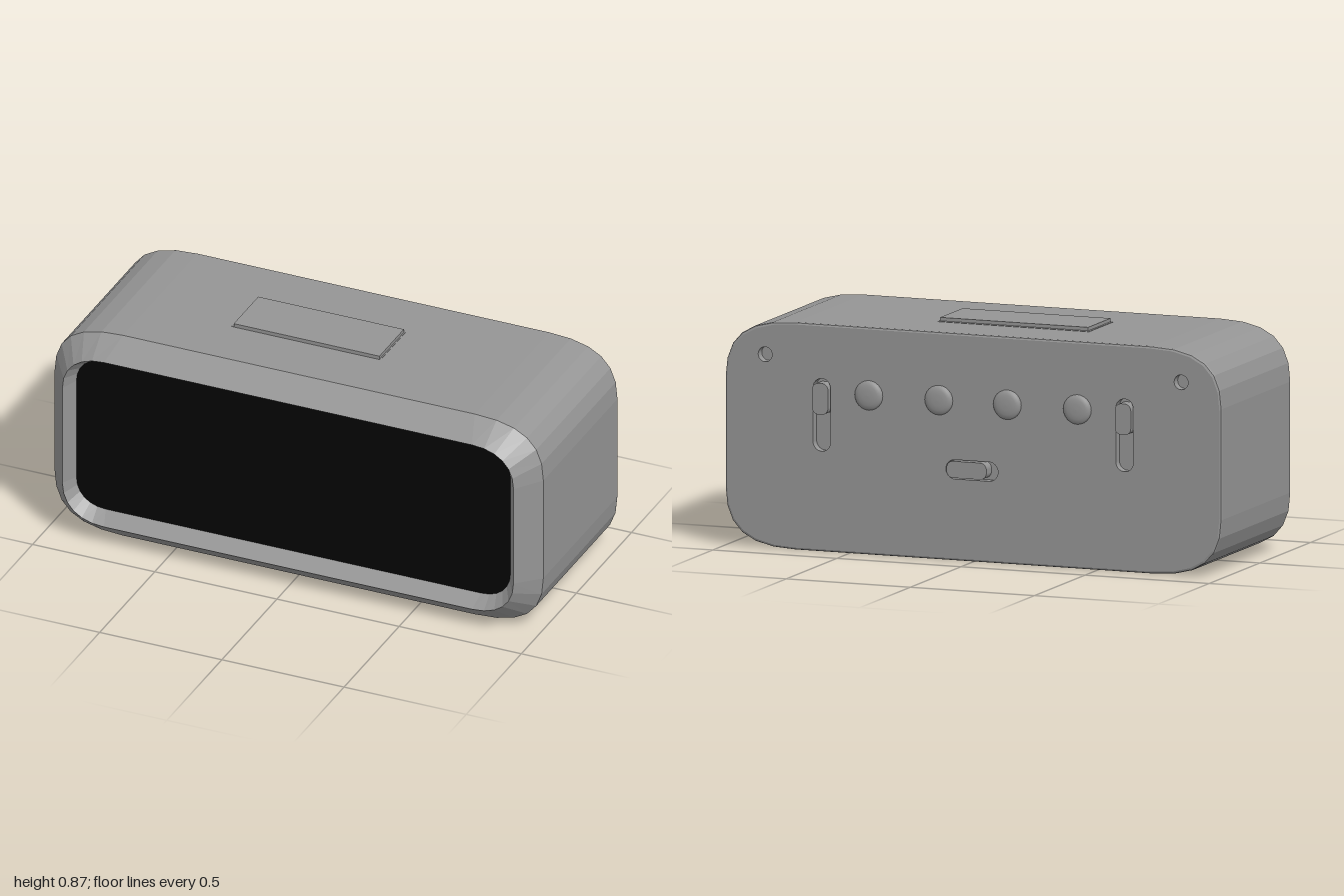
import * as THREE from 'three';

const grey = new THREE.MeshStandardMaterial({ color: 0x959595 });
const black = new THREE.MeshStandardMaterial({ color: 0x050505 });
const BACK = -0.38, FLOOR = -0.345;

// Soft-cornered outline, counter-clockwise from the front; cx, cv are the corner's width and height
function outline(hw, hh, cy = 0.43, cx = 0.28, cv = 0.22, k = 0.7) {
  const corner = new THREE.CubicBezierCurve(
    new THREE.Vector2(hw, hh - cv), new THREE.Vector2(hw, hh - cv * (1 - k)),
    new THREE.Vector2(hw - cx * (1 - k), hh), new THREE.Vector2(hw - cx, hh)
  ).getPoints(6);
  const points = [];
  for (const [sx, sy] of [[1, 1], [-1, 1], [-1, -1], [1, -1]]) {
    const part = corner.map(p => new THREE.Vector2(p.x * sx, p.y * sy + cy));
    points.push(...(sx * sy > 0 ? part : part.reverse()));
  }
  return points;
}

// Faceted skin between rings of equal point count
function loft(rings) {
  const n = rings[0].points.length, pos = [], index = [];
  rings.forEach(r => r.points.forEach(p => pos.push(p.x, p.y, r.z)));
  for (let r = 0; r < rings.length - 1; r++) {
    for (let i = 0; i < n; i++) {
      const j = (i + 1) % n, a = r * n + i, b = r * n + j;
      index.push(a, b, b + n, a, b + n, a + n);
    }
  }
  const indexed = new THREE.BufferGeometry();
  indexed.setAttribute('position', new THREE.Float32BufferAttribute(pos, 3));
  indexed.setIndex(index);
  const g = indexed.toNonIndexed();
  g.computeVertexNormals();
  return g;
}

// Upright or lying slot with rounded ends
function slot(Type, x, y, w, h, r = Math.min(w, h) / 2) {
  const s = new Type(), a = w / 2, b = h / 2, q = Math.PI / 2;
  s.absarc(x + a - r, y + b - r, r, 0, q);
  s.absarc(x - a + r, y + b - r, r, q, 2 * q);
  s.absarc(x - a + r, y - b + r, r, 2 * q, 3 * q);
  s.absarc(x + a - r, y - b + r, r, 3 * q, 4 * q);
  s.closePath();
  return s;
}

export function createModel() {
  const model = new THREE.Group();
  const add = (name, geometry, material = grey, x = 0, y = 0, z = 0) => {
    const mesh = new THREE.Mesh(geometry, material);
    mesh.name = name;
    mesh.position.set(x, y, z);
    model.add(mesh);
  };
  const extrude = (shape, depth) =>
    new THREE.ExtrudeGeometry(shape, { depth, bevelEnabled: false, curveSegments: 8 });

  // Casing with chamfered front and sloping screen recess
  const screenOutline = outline(0.888, 0.317, 0.445, 0.12, 0.11, 0.6);
  add('casing', loft([
    { points: outline(0.992, 0.422), z: BACK },
    { points: outline(0.998, 0.428), z: BACK + 0.003 },
    { points: outline(1, 0.43), z: BACK + 0.01 },
    { points: outline(1, 0.43), z: 0.3 },
    { points: outline(0.923, 0.353, 0.434, 0.17, 0.15, 0.62), z: 0.4 },
    { points: screenOutline, z: 0.35 }
  ]));
  add('screen', new THREE.ShapeGeometry(new THREE.Shape(screenOutline)), black, 0, 0, 0.35);

  // Back panel pierced by slots and screw holes, with a floor behind
  const panel = new THREE.Shape(outline(0.992, 0.422));
  for (const side of [-1, 1]) {
    panel.holes.push(slot(THREE.Path, side * 0.61, 0.517, 0.07, 0.275));
    panel.holes.push(slot(THREE.Path, side * 0.838, 0.732, 0.056, 0.056, 0.0279));
  }
  panel.holes.push(slot(THREE.Path, 0.005, 0.345, 0.21, 0.073));
  add('backPanel', extrude(panel, FLOOR - BACK), grey, 0, 0, BACK);
  const floor = new THREE.ShapeGeometry(new THREE.Shape(outline(0.98, 0.41)));
  floor.rotateY(Math.PI);
  add('slotFloor', floor, grey, 0, 0, FLOOR);

  // Sliding switches
  const slider = (name, x, y, w, h) =>
    add(name, extrude(slot(THREE.Shape, x, y, w, h, 0.025), 0.05), grey, 0, 0, -0.397);
  slider('rightSwitch', -0.61, 0.58, 0.064, 0.118);
  slider('leftSwitch', 0.61, 0.58, 0.064, 0.118);
  slider('lowerSwitch', 0.02, 0.347, 0.16, 0.063);

  // Domed push buttons
  const profile = [[0.056, -0.01], [0.056, 0.003], [0.05, 0.009], [0.037, 0.0135], [0.02, 0.0155], [0, 0.016]]
    .map(([r, h]) => new THREE.Vector2(r, h));
  const dome = new THREE.LatheGeometry(profile, 24);
  dome.rotateX(-Math.PI / 2);
  for (const x of [-0.42, -0.138, 0.138, 0.42]) add('pushButton', dome, grey, x, 0.603, BACK);

  // Wide top button in its nearly flush surround
  add('topButtonSurround', new THREE.BoxGeometry(0.61, 0.02, 0.235), grey, -0.073, 0.8515, -0.045);
  add('topButton', new THREE.BoxGeometry(0.596, 0.035, 0.222), grey, -0.071, 0.857, -0.038);

  return model;
}
